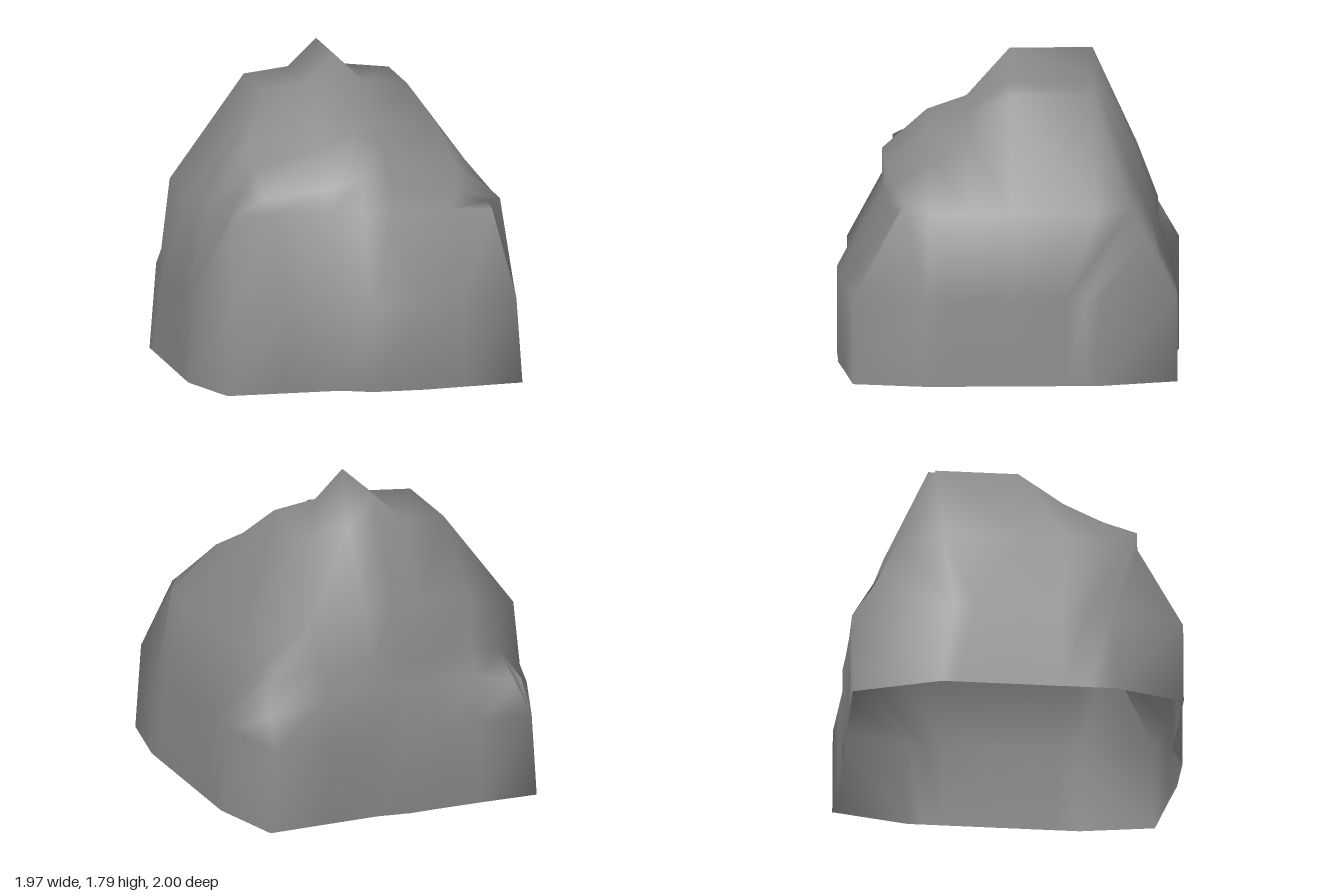
import * as THREE from 'three';

// Cap rows from front to back: centre [y, z], shoulder [x, y, z],
// dip = how far the point beside the centre has dropped towards the shoulder.
const ROWS = [
  { centre: [1.0, 0.74], shoulder: [0.52, 1.0, 0.74], dip: 0.4, skew: 1 },
  { centre: [1.2, 0.74], shoulder: [0.57, 1.1, 0.71], dip: 0.6, skew: 0.6 },
  { centre: [1.43, 0.48], shoulder: [0.59, 1.24, 0.48], dip: 0.4, skew: 0 },
  { centre: [1.51, 0.25], shoulder: [0.58, 1.35, 0.25], dip: 0.4, skew: 0 },
  { centre: [1.79, 0], shoulder: [0.43, 1.6, 0], dip: 0.84, skew: 0 },
  { centre: [1.79, -0.48], shoulder: [0.43, 1.6, -0.48], dip: 0.84, skew: 0 },
  { centre: [1.22, -0.74], shoulder: [0.5, 1.15, -0.7], dip: 0.3, skew: 0 },
  { centre: [0.9, -0.86], shoulder: [0.46, 0.9, -0.8], dip: 0.4, skew: 0 },
  { centre: [0.76, -0.86], shoulder: [0.48, 0.72, -0.85], dip: 0.4, skew: 0 },
];
// Corner points of the end rows, [-x side, +x side]
const CORNERS = {
  0: [[-0.75, 1.0, 0.66], [0.78, 0.98, 0.67]],
  1: [[-0.72, 1.12, 0.66], [0.76, 1.02, 0.63]],
  6: [[-0.68, 1.03, -0.72], [0.75, 1.0, -0.69]],
  7: [[-0.64, 0.85, -0.81], [0.79, 0.84, -0.77]],
  8: [[-0.74, 0.69, -0.89], [0.83, 0.68, -0.86]],
};
const COLS = 7;
const LAST = ROWS.length - 1;

// Uneven front and back faces, from -x to +x
const FRONT_DZ = [-0.08, -0.08, -0.08, 0, 0, -0.03, -0.07];
const FRONT_X = [-0.85, -0.5, -0.18, 0, 0.31, 0.55, 0.9];
const BACK_Z = [-1, -0.985, -0.98, -0.98, -0.95, -0.95, -0.95];
const BACK_X = [-0.79, -0.45, -0.17, 0, 0.2, 0.5, 0.87];
const SIDE_Z = [0.5, 0.36, 0.2, 0, -0.3, -0.42, -0.5]; // foot below each inner row

function capPoint(i, j) {
  const { centre: [cy, cz], shoulder: [sx, sy, sz], dip, skew } = ROWS[i];
  const side = Math.sign(j - 3);
  const dz = FRONT_DZ[j] * skew;
  const step = Math.abs(j - 3);
  if (step === 0) return [0, cy, cz];
  if (step === 1) {
    const { lerp } = THREE.MathUtils;
    return [side * 0.17, lerp(cy, sy, dip), lerp(cz, sz, dip) + dz];
  }
  if (step === 2) return [side * sx, sy, sz + dz];
  return CORNERS[i] ? CORNERS[i][side < 0 ? 0 : 1] : [side * 0.87, 1, cz];
}

// Outline of the foot below a cap edge point
function footPoint(i, j) {
  if (i === 0) return [FRONT_X[j], 1 + FRONT_DZ[j]];
  if (i === LAST) return [BACK_X[j], BACK_Z[j]];
  return [j === 0 ? -0.985 : 0.985, SIDE_Z[i - 1]];
}

function createShell() {
  const positions = [];
  const index = [];
  const quad = (a, b, c, d) => index.push(a, b, c, a, c, d);

  // Cap with its raised central ridge
  for (let i = 0; i <= LAST; i++) {
    for (let j = 0; j < COLS; j++) positions.push(...capPoint(i, j));
  }
  const id = (i, j) => i * COLS + j;
  for (let i = 0; i < LAST; i++) {
    for (let j = 0; j < COLS - 1; j++) {
      quad(id(i, j), id(i, j + 1), id(i + 1, j + 1), id(i + 1, j));
    }
  }

  // Edge of the cap, counterclockwise from above
  const edge = [];
  for (let j = 0; j < COLS; j++) edge.push([0, j]);
  for (let i = 1; i < LAST; i++) edge.push([i, COLS - 1]);
  for (let j = COLS - 1; j >= 0; j--) edge.push([LAST, j]);
  for (let i = LAST - 1; i > 0; i--) edge.push([i, 0]);

  // Walls: a middle ring and the open foot
  const n = edge.length;
  let upper = edge.map(([i, j]) => id(i, j));
  for (const [y, scale] of [[0.5, 0.96], [0, 1]]) {
    const start = positions.length / 3;
    for (const [i, j] of edge) {
      const [x, z] = footPoint(i, j);
      positions.push(x * scale, y, z);
    }
    const lower = edge.map((_, k) => start + k);
    for (let k = 0; k < n; k++) {
      const m = (k + 1) % n;
      quad(lower[k], lower[m], upper[m], upper[k]);
    }
    upper = lower;
  }

  const geometry = new THREE.BufferGeometry();
  geometry.setAttribute('position', new THREE.Float32BufferAttribute(positions, 3));
  geometry.setIndex(index);
  geometry.computeVertexNormals();
  return geometry;
}

export function createModel() {
  const group = new THREE.Group();
  group.name = 'rock';
  const material = new THREE.MeshStandardMaterial({ color: 0x888888, side: THREE.DoubleSide });
  const shell = new THREE.Mesh(createShell(), material);
  shell.name = 'rockShell';
  group.add(shell);
  return group;
}
